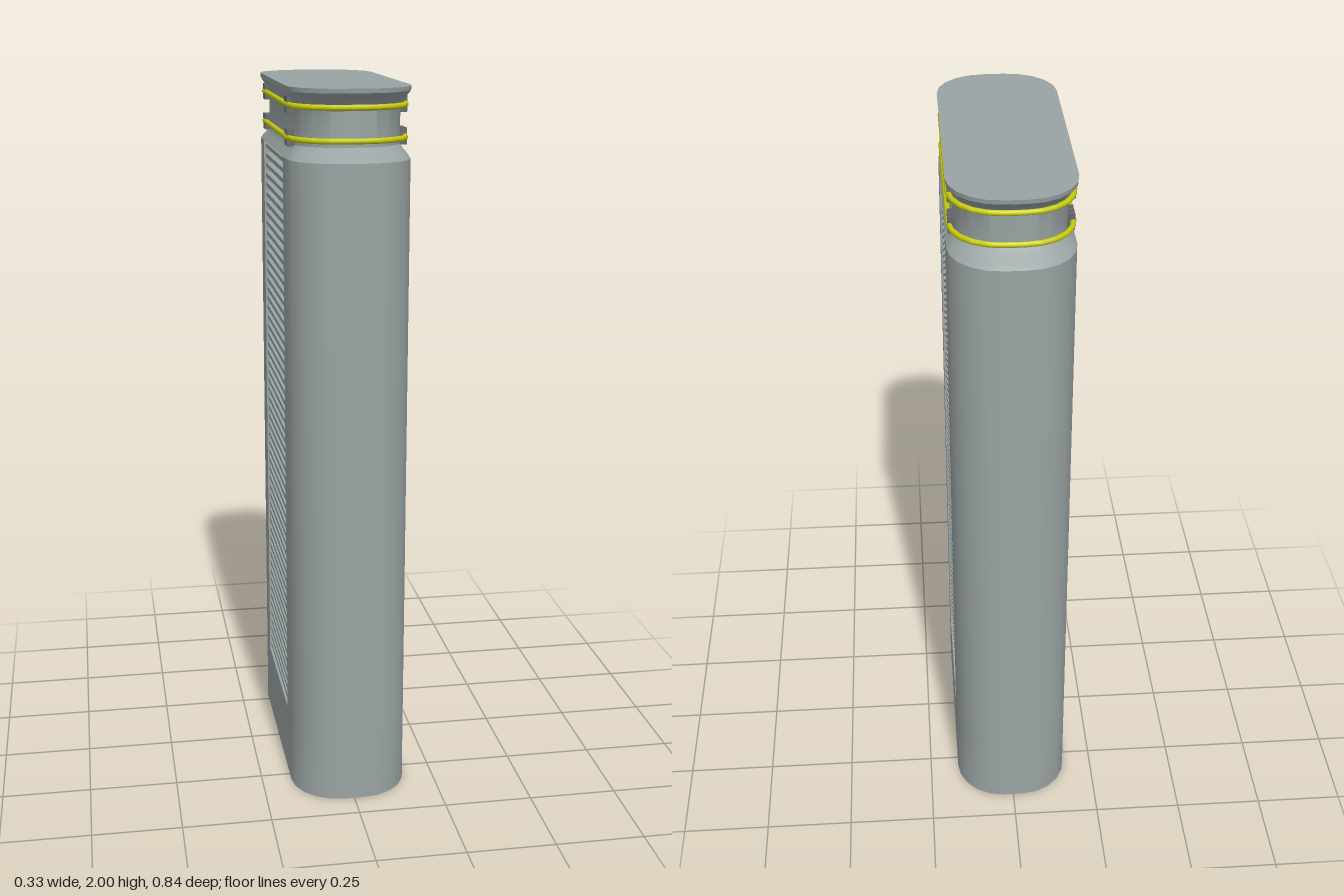
import * as THREE from 'three';
import { toCreasedNormals } from 'three/addons/utils/BufferGeometryUtils.js';

const W = 0.165, D = 0.418, R = 0.137;      // half width, half depth, corner radius
const PANEL = 0.21, BOTTOM = 0.2, TOP = 1.812; // grille half width, lower and upper edge
const RECESS = 0.115;                        // x of the recess floor

const material = (name, color) => {
  const m = new THREE.MeshStandardMaterial({ color });
  m.name = name;
  return m;
};

// One rounded corner (0..3, counter-clockwise) of the footprint as [x, z] points
function corner(k, w, d, r) {
  const sx = k === 0 || k === 3 ? 1 : -1, sz = k < 2 ? 1 : -1;
  return Array.from({ length: 6 }, (_, i) => {
    const a = (k + i / 5) * Math.PI / 2;
    return [sx * (w - r) + r * Math.cos(a), sz * (d - r) + r * Math.sin(a)];
  });
}
const outline = (w, d, r) => [0, 1, 2, 3].flatMap(k => corner(k, w, d, r));

// Capped loft of the footprint through [y, scale] levels
function loft(levels) {
  const base = outline(W, D, R), n = base.length, pos = [], idx = [];
  levels.forEach(([y, s]) => base.forEach(([x, z]) => pos.push(x * s, y, z * s)));
  for (let i = 0; i < levels.length - 1; i++) {
    for (let j = 0; j < n; j++) {
      const a = i * n + j, b = i * n + (j + 1) % n;
      idx.push(a, a + n, b, b, a + n, b + n);
    }
  }
  const last = (levels.length - 1) * n, c = levels.length * n;
  pos.push(0, levels[0][0], 0, 0, levels.at(-1)[0], 0);
  for (let j = 0; j < n; j++) {
    const k = (j + 1) % n;
    idx.push(c, j, k, c + 1, last + k, last + j);
  }
  const g = new THREE.BufferGeometry();
  g.setAttribute('position', new THREE.Float32BufferAttribute(pos, 3));
  g.setIndex(idx);
  return toCreasedNormals(g, 0.55);
}

// Main shell with a recess notched into both broad sides
function shellGeometry() {
  const pts = [
    ...corner(0, W, D, R), ...corner(1, W, D, R),
    [-W, PANEL], [-RECESS, PANEL], [-RECESS, -PANEL], [-W, -PANEL],
    ...corner(2, W, D, R), ...corner(3, W, D, R),
    [W, -PANEL], [RECESS, -PANEL], [RECESS, PANEL], [W, PANEL],
  ];
  const shape = new THREE.Shape(pts.map(([x, z]) => new THREE.Vector2(x, z)));
  const g = new THREE.ExtrudeGeometry(shape, { depth: TOP - BOTTOM, bevelEnabled: false });
  g.rotateX(Math.PI / 2).translate(0, TOP, 0);
  return toCreasedNormals(g, 0.55);
}

// Closed rail following the footprint around the neck
function railGeometry() {
  const pts = outline(0.157, 0.382, 0.13).map(([x, z]) => new THREE.Vector3(x, 0, z));
  const path = new THREE.CurvePath();
  pts.forEach((p, i) => path.add(new THREE.LineCurve3(p, pts[(i + 1) % pts.length])));
  return new THREE.TubeGeometry(path, 160, 0.0075, 8, true);
}

export function createModel() {
  const model = new THREE.Group();
  model.name = 'ventilatedTower';
  const grey = material('casing grey', 0x9aa3a3);
  const black = material('interior black', 0x0a0a0b);
  const yellow = material('rail yellow', 0xc6cc0c);
  const dark = material('clip grey', 0x62686a);
  const blue = material('light blue', 0x5f8fd8);
  const pale = material('light pale', 0xb4b8bb);

  const add = (name, geometry, mat, x = 0, y = 0, z = 0, parent = model) => {
    const m = new THREE.Mesh(geometry, mat);
    m.name = name;
    m.position.set(x, y, z);
    parent.add(m);
    return m;
  };

  // Casing: plinth, recessed shell, waisted neck with flared cap
  add('base', loft([[0, 1], [BOTTOM, 1]]), grey);
  add('shell', shellGeometry(), grey);
  add('neckAndCap', loft([
    [TOP, 1], [1.822, 0.965], [1.832, 0.92], [1.847, 0.868], [1.94, 0.872],
    [1.953, 0.892], [1.967, 0.925], [1.978, 0.96], [1.988, 0.995], [2, 1],
  ]), grey);

  // Yellow rails around the neck
  const rail = railGeometry();
  const railHeights = [1.865, 1.95];
  railHeights.forEach(y => add('rail', rail, yellow, 0, y));

  // Louvred grilles, indicator lights and rail clips on both broad sides
  const count = 57, pitch = (TOP - BOTTOM) / count;
  const slat = new THREE.BoxGeometry(0.035, 0.012, PANEL * 2);
  const backing = new THREE.BoxGeometry(0.004, TOP - BOTTOM, PANEL * 2);
  const clip = new THREE.BoxGeometry(0.02, 0.044, 0.012);
  let seed = 7;
  const random = () => (seed = (seed * 16807) % 2147483647) / 2147483647;

  for (const side of [1, -1]) {
    const grille = new THREE.Group();
    grille.name = side > 0 ? 'leftGrille' : 'rightGrille';
    model.add(grille);
    add('grilleBacking', backing, black, side * (RECESS + 0.002), (TOP + BOTTOM) / 2, 0, grille);
    for (let i = 0; i < count; i++) {
      const y = BOTTOM + (i + 0.5) * pitch;
      add('slat', slat, grey, side * 0.1425, y, 0, grille);
      if (random() < 0.6) {
        const length = 0.03 + random() * 0.07;
        const z = (random() * 2 - 1) * (PANEL - length / 2);
        add('indicatorLight', new THREE.BoxGeometry(0.003, 0.005, length),
          random() < 0.6 ? blue : pale, side * (RECESS + 0.0045), y + pitch / 2, z, grille);
      }
    }
    for (const y of railHeights) {
      for (const end of [1, -1]) {
        for (const z of [0.217, 0.238, 0.259]) {
          add('railClip', clip, dark, side * 0.15, y, end * z);
        }
      }
    }
  }
  return model;
}
